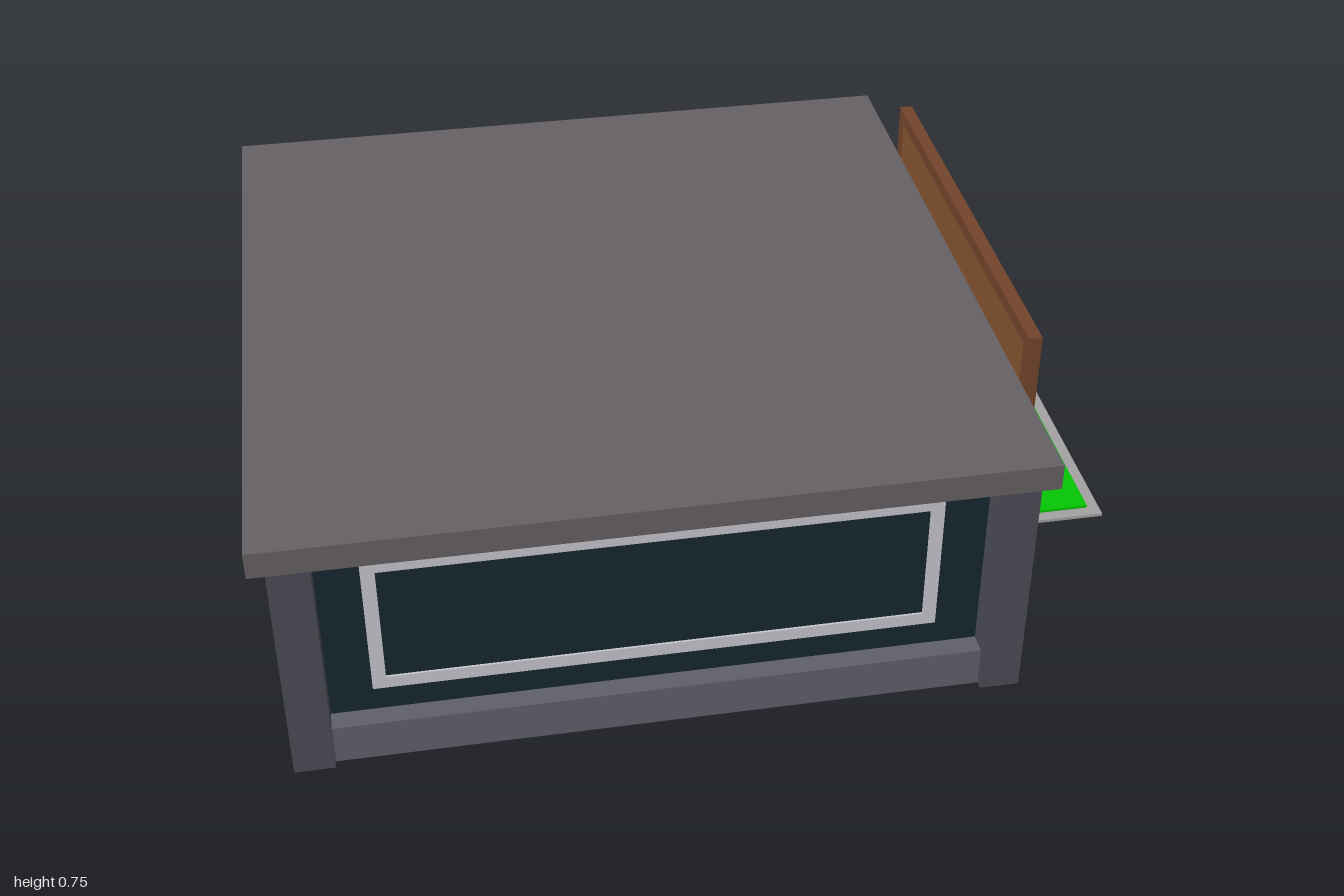
import * as THREE from 'three';

const mats = {};
const mat = (color) => (mats[color] ??= new THREE.MeshStandardMaterial({ color }));
const ROOF = 0x656063, POST = 0x4b4b56, BASE = 0x5f5e6c, WALL = 0x17262f, TRIM = 0xc4c4cc;
const RED = 0xc02015, GREEN = 0x04c404, PAD = 0x2f8038, DARK = 0x3a3a42;
const WOOD = 0x72432a, BOARD = 0x85522f, FLOOR = 0x5c5b5e, STONE = 0xa2a0a0;

// Box given by its extents on each axis
function box(parent, name, color, [x0, x1], [y0, y1], [z0, z1]) {
  const mesh = new THREE.Mesh(new THREE.BoxGeometry(x1 - x0, y1 - y0, z1 - z0), mat(color));
  mesh.position.set((x0 + x1) / 2, (y0 + y1) / 2, (z0 + z1) / 2);
  mesh.name = name;
  parent.add(mesh);
}

// Rectangular ring in the XY plane, centred on its own origin
function ring(parent, name, color, w, h, bar, depth) {
  const rect = (T, a, b) => new T([[-a, -b], [a, -b], [a, b], [-a, b]].map(([x, y]) => new THREE.Vector2(x, y)));
  const shape = rect(THREE.Shape, w / 2, h / 2);
  shape.holes.push(rect(THREE.Path, w / 2 - bar, h / 2 - bar));
  const geo = new THREE.ExtrudeGeometry(shape, { depth, bevelEnabled: false }).translate(0, 0, -depth / 2);
  const mesh = new THREE.Mesh(geo, mat(color));
  mesh.name = name;
  parent.add(mesh);
  return mesh;
}

// Wall panel facing +z, with skirting and a trim frame showing on both sides
function wall(name) {
  const g = new THREE.Group();
  g.name = name;
  box(g, 'wallPanel', WALL, [-0.715, 0.715], [0.09, 0.565], [-0.012, 0.012]);
  box(g, 'skirting', BASE, [-0.715, 0.715], [0, 0.095], [-0.015, 0.058]);
  ring(g, 'wallTrim', TRIM, 1.22, 0.345, 0.03, 0.034).position.y = 0.328;
  return g;
}

export function createModel() {
  const model = new THREE.Group();
  model.name = 'pavilion';
  const CX = -0.175;

  // Roof slab and corner posts
  box(model, 'roof', ROOF, [-1, 0.65], [0.565, 0.625], [-0.825, 0.825]);
  for (const x of [-0.966, 0.532])
    for (const z of [-0.796, 0.708])
      box(model, 'cornerPost', POST, [x, x + 0.088], [0, 0.567], [z, z + 0.088]);

  // Three walls; the +x side stays open
  for (const s of [-1, 1]) {
    const side = wall('sideWall');
    side.position.set(CX, 0, s * 0.72);
    if (s < 0) side.rotation.y = Math.PI;
    model.add(side);
  }
  const end = wall('endWall');
  end.position.set(-0.887, 0, 0);
  end.rotation.y = -Math.PI / 2;
  model.add(end);

  // Floor with a sill, carpet and entrance steps
  box(model, 'floor', FLOOR, [-0.9, 0.59], [0.004, 0.063], [-0.74, 0.74]);
  box(model, 'sill', BASE, [0.585, 0.6], [0.004, 0.0625], [-0.74, 0.74]);
  box(model, 'carpet', RED, [-0.88, 0.622], [0.001, 0.067], [-0.172, 0.172]);
  box(model, 'upperStep', BASE, [0.58, 0.619], [0.002, 0.0645], [-0.2, 0.2]);
  box(model, 'lowerStep', BASE, [0.61, 0.68], [0.002, 0.029], [-0.2, 0.2]);
  box(model, 'stepCarpet', RED, [0.61, 0.683], [0.003, 0.032], [-0.172, 0.172]);

  // Mat outside the entrance
  box(model, 'matBorder', STONE, [0.665, 1], [0, 0.008], [-0.265, 0.265]);
  box(model, 'mat', GREEN, [0.675, 0.97], [0.006, 0.015], [-0.237, 0.237]);

  // Floor pads in rows either side of the carpet
  for (const s of [-1, 1])
    for (const x of [0.34, 0.11, -0.12, -0.35]) {
      const big = s * 0.575, small = s * 0.39;
      const frame = ring(model, 'padFrame', DARK, 0.165, 0.19, 0.025, 0.012);
      frame.rotation.x = -Math.PI / 2;
      frame.position.set(x, 0.068, big);
      box(model, 'pad', BASE, [x - 0.06, x + 0.06], [0.06, 0.071], [big - 0.072, big + 0.072]);
      box(model, 'greenPadBase', DARK, [x - 0.06, x + 0.09], [0.06, 0.066], [small - 0.052, small + 0.052]);
      box(model, 'greenPad', PAD, [x - 0.052, x + 0.082], [0.06, 0.07], [small - 0.044, small + 0.044]);
    }

  // Central stand
  box(model, 'standBase', 0xc0a020, [CX - 0.05, CX + 0.05], [0.06, 0.073], [-0.05, 0.05]);
  box(model, 'standStem', POST, [CX - 0.02, CX + 0.02], [0.07, 0.17], [-0.02, 0.02]);
  box(model, 'standHead', DARK, [CX - 0.03, CX + 0.03], [0.17, 0.21], [-0.03, 0.03]);
  box(model, 'standScreen', POST, [CX + 0.028, CX + 0.034], [0.178, 0.202], [-0.022, 0.022]);

  // Ceiling lamps
  for (const z of [-0.3, 0.3])
    for (const x of [0.15, -0.5]) {
      box(model, 'lampHousing', DARK, [x - 0.06, x + 0.06], [0.54, 0.567], [z - 0.06, z + 0.06]);
      box(model, 'lamp', TRIM, [x - 0.03, x + 0.03], [0.522, 0.55], [z - 0.03, z + 0.03]);
    }

  // Blank sign board over the entrance
  const sign = new THREE.Group();
  sign.name = 'signBoard';
  ring(sign, 'signFrame', WOOD, 1.06, 0.215, 0.03, 0.03);
  box(sign, 'signPanel', BOARD, [-0.502, 0.502], [-0.08, 0.08], [-0.013, 0.013]);
  sign.rotation.y = Math.PI / 2;
  sign.position.set(0.666, 0.642, 0.015);
  model.add(sign);
  return model;
}
